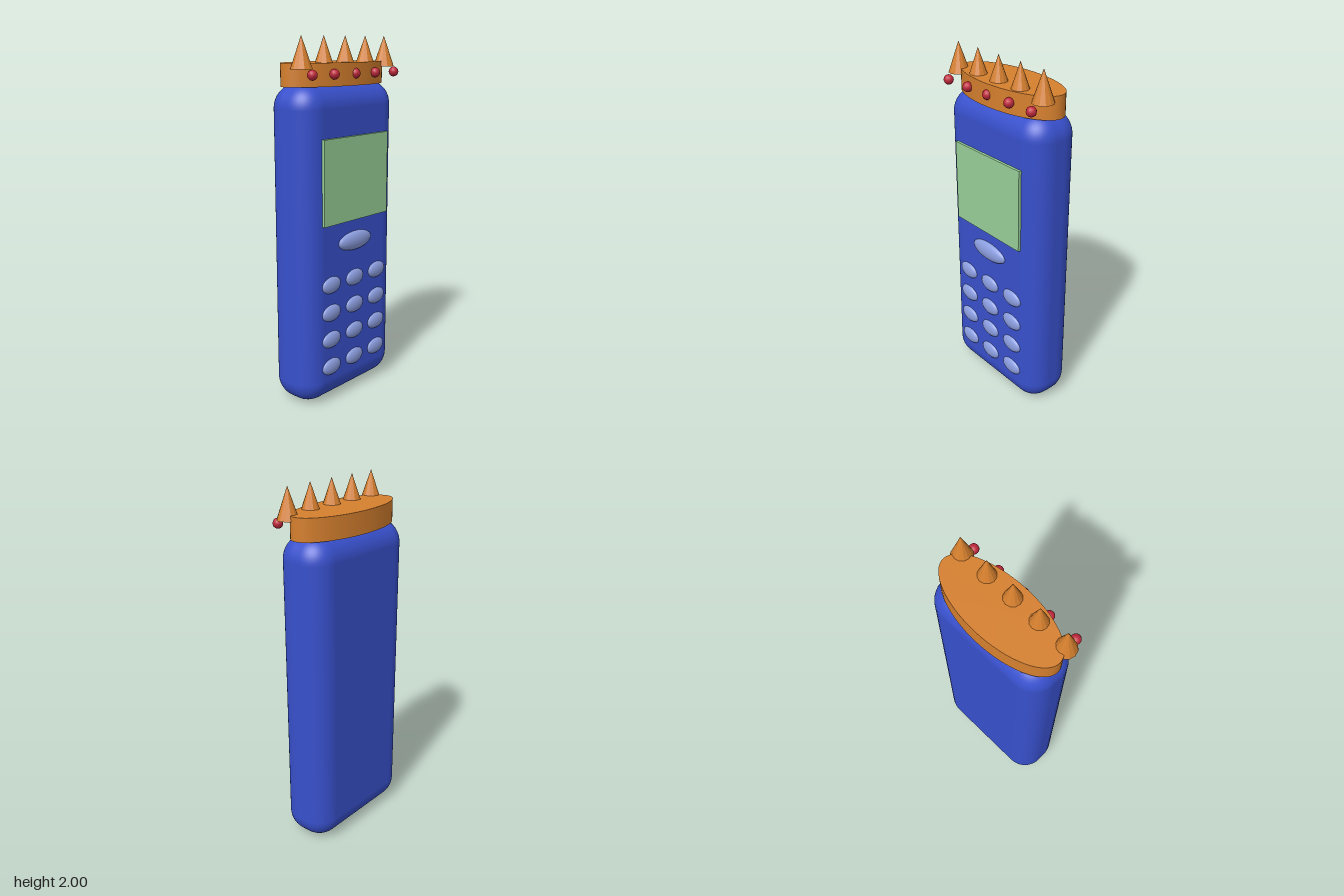
import * as THREE from 'three';
import { RoundedBoxGeometry } from 'three/addons/geometries/RoundedBoxGeometry.js';

const material = (name, color, flat = false) => {
  const m = new THREE.MeshStandardMaterial({ color, flatShading: flat });
  m.name = name;
  return m;
};

export function createModel() {
  const blue = material('body blue', 0x3850cc);
  const green = material('screen green', 0x98d098);
  const pale = material('button blue', 0x8c9ee0);
  const gold = material('crown orange', 0xd6802e);
  const spikeGold = gold.clone();
  spikeGold.flatShading = true;
  const red = material('gem red', 0xc0283c);

  const root = new THREE.Group();
  root.name = 'crownedPhone';
  const add = (name, geometry, mat, x, y, z, parent = root) => {
    const mesh = new THREE.Mesh(geometry, mat);
    mesh.name = name;
    mesh.position.set(x, y, z);
    parent.add(mesh);
    return mesh;
  };

  // Rounded casing and raised screen
  add('body', new RoundedBoxGeometry(0.755, 1.76, 0.31, 6, 0.13), blue, 0, 0.88, -0.015);
  add('screen', new THREE.BoxGeometry(0.526, 0.46, 0.02), green, 0, 1.25, 0.145);

  // Oval buttons, half sunk into the casing
  const ball = new THREE.SphereGeometry(1, 24, 16);
  add('menuButton', ball, pale, 0, 0.9, 0.14).scale.set(0.135, 0.053, 0.032);
  const keypad = new THREE.Group();
  keypad.name = 'keypad';
  root.add(keypad);
  for (const y of [0.685, 0.525, 0.37, 0.21]) {
    for (const x of [-0.193, 0, 0.193]) {
      add('key', ball, pale, x, y, 0.138, keypad).scale.set(0.073, 0.047, 0.025);
    }
  }

  // Oval crown band with a row of spikes and gems along the front
  const crown = new THREE.Group();
  crown.name = 'crown';
  root.add(crown);
  add('crownBand', new THREE.CylinderGeometry(1, 1, 0.12, 64), gold, 0, 1.803, -0.016, crown)
    .scale.set(0.37, 1, 0.158);
  const spike = new THREE.ConeGeometry(0.058, 0.166, 12);
  const gem = new THREE.SphereGeometry(0.027, 12, 10);
  for (let i = -2; i <= 2; i++) {
    add('crownSpike', spike, spikeGold, i * 0.166, 1.917, 0.065, crown);
    add('crownGem', gem, red, i * 0.165, 1.806, 0.138, crown);
  }
  return root;
}
